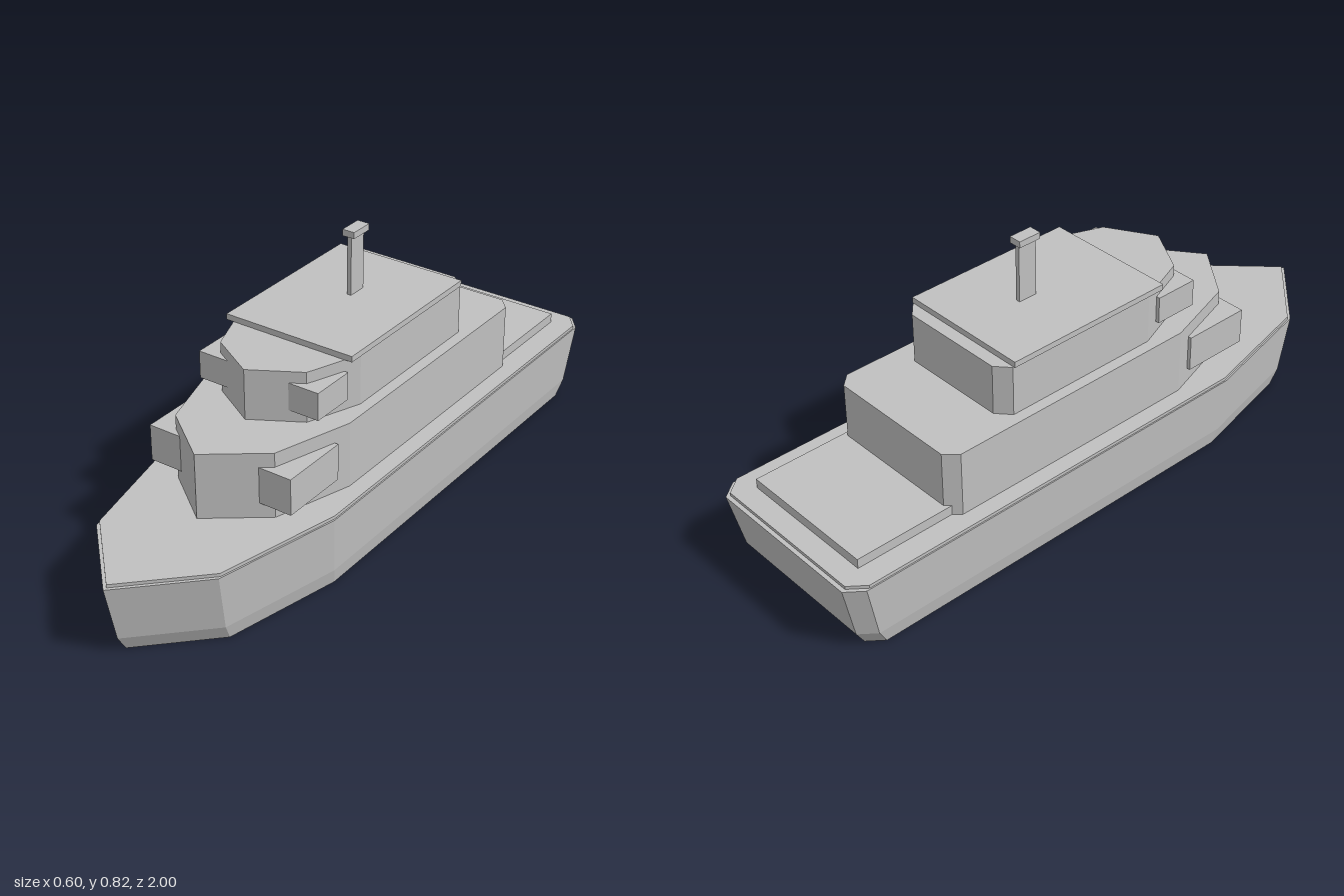
import * as THREE from 'three';

const grey = new THREE.MeshStandardMaterial({ color: 0xc0c0c0, flatShading: true });
grey.name = 'ship grey';

// Half outlines from bow to stern as [x, z]; the other side is mirrored
const hullHalf = [[0, 1], [0.21, 0.79], [0.3, 0.4], [0.3, -0.95], [0.26, -1]];
const lowerHalf = [[0, 0.62], [0.17, 0.492], [0.245, 0.25], [0.245, -0.58], [0.21, -0.618]];
const upperHalf = [[0, 0.4], [0.147, 0.315], [0.21, 0.15], [0.21, -0.363], [0.168, -0.4]];

// Stack of scaled outlines, closed at bottom and top; levels are [y, scale]
function loft(name, half, levels) {
  const ring = [...half, ...half.slice(1).reverse().map(([x, z]) => [-x, z])];
  const n = ring.length;
  const pos = [];
  const index = [];
  for (const [y, s] of levels) for (const [x, z] of ring) pos.push(x * s, y, z * s);
  for (let l = 0; l < levels.length - 1; l++) {
    for (let i = 0; i < n; i++) {
      const a = l * n + i, b = l * n + (i + 1) % n;
      index.push(a, b, b + n, a, b + n, a + n);
    }
  }
  const top = (levels.length - 1) * n;
  for (let i = 1; i < n - 1; i++) {
    index.push(0, i + 1, i);
    index.push(top, top + i, top + i + 1);
  }
  const indexed = new THREE.BufferGeometry();
  indexed.setAttribute('position', new THREE.Float32BufferAttribute(pos, 3));
  indexed.setIndex(index);
  const geo = indexed.toNonIndexed();
  geo.computeVertexNormals();
  const mesh = new THREE.Mesh(geo, grey);
  mesh.name = name;
  return mesh;
}

// Box centred on x = 0, given its half width and its y and z ranges
function block(name, halfX, y0, y1, z0, z1) {
  const mesh = new THREE.Mesh(new THREE.BoxGeometry(halfX * 2, y1 - y0, z1 - z0), grey);
  mesh.position.set(0, (y0 + y1) / 2, (z0 + z1) / 2);
  mesh.name = name;
  return mesh;
}

export function createModel() {
  const ship = new THREE.Group();
  ship.name = 'ship';
  ship.add(
    // Hull with a chine near the keel, and a thin inset deck
    loft('hull', hullHalf, [[0, 0.93], [0.05, 0.96], [0.23, 1]]),
    loft('deck', hullHalf, [[0.23, 0.987], [0.24, 0.987]]),
    block('aftHatch', 0.225, 0.24, 0.27, -0.92, -0.6),
    // Two cabin tiers, each with a block crossing it to form side wings
    loft('lowerCabin', lowerHalf, [[0.24, 1], [0.444, 1]]),
    block('lowerWings', 0.241, 0.287, 0.4, 0.3, 0.518),
    loft('upperCabin', upperHalf, [[0.444, 1], [0.6, 1]]),
    block('upperWings', 0.203, 0.48, 0.565, 0.2, 0.34),
    // Roof and mast
    block('roof', 0.215, 0.6, 0.618, -0.36, 0.2),
    block('mast', 0.007, 0.618, 0.802, -0.157, -0.095),
    block('mastCap', 0.02, 0.802, 0.822, -0.165, -0.09),
  );
  return ship;
}
